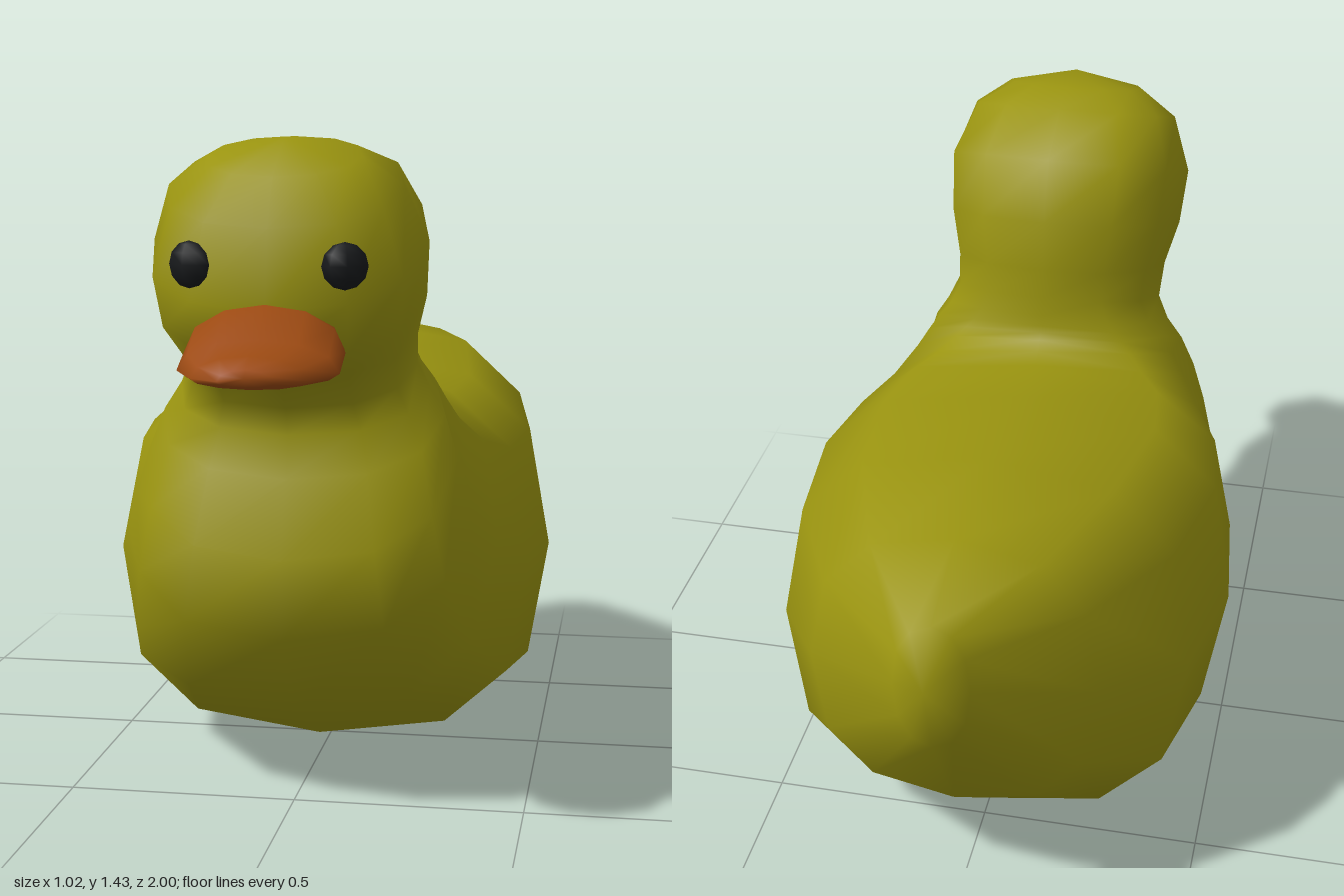
import * as THREE from 'three';
import { mergeVertices } from 'three/addons/utils/BufferGeometryUtils.js';

// Each section is [zA, yA, zB, yB, halfWidth, power]: A is its belly/front end,
// B its back/top end; "mid" says how far from A to B it is widest.
function loft(sections, sides, mid) {
  const pos = [], index = [];
  const bend = (v, n) => Math.sign(v) * Math.pow(Math.abs(v), 2 / n);
  sections.forEach(([zA, yA, zB, yB, w, n], i) => {
    for (let j = 0; j < sides; j++) {
      const a = (j / sides) * Math.PI * 2;
      const s = bend(Math.sin(a), n);
      const t = mid + s * (s > 0 ? 1 - mid : mid);
      pos.push(w * bend(Math.cos(a), n), yA + (yB - yA) * t, zA + (zB - zA) * t);
      if (i === sections.length - 1) continue;
      const p = i * sides + j, q = i * sides + ((j + 1) % sides);
      index.push(p, q, q + sides, p, q + sides, p + sides);
    }
  });
  const geo = new THREE.BufferGeometry();
  geo.setAttribute('position', new THREE.Float32BufferAttribute(pos, 3));
  geo.setIndex(index);
  const merged = mergeVertices(geo, 1e-4);
  merged.computeVertexNormals();
  return merged;
}

export function createModel() {
  const duck = new THREE.Group();
  duck.name = 'duck';
  const add = (name, geometry, color) => {
    const mesh = new THREE.Mesh(geometry, new THREE.MeshStandardMaterial({ color }));
    mesh.name = name;
    duck.add(mesh);
    return mesh;
  };

  // Body, neck and head: one skin swept from the tail tip up to the crown
  add('bodyAndHead', loft([
    [-1.0, 0.78, -1.0, 0.78, 0, 2],
    [-0.95, 0.6, -0.93, 0.89, 0.08, 2.2],
    [-0.79, 0.32, -0.72, 0.95, 0.31, 2.5],
    [-0.53, 0.08, -0.43, 0.96, 0.46, 2.7],
    [-0.19, 0.005, -0.1, 0.915, 0.51, 2.9],
    [0.17, 0.055, 0.08, 0.895, 0.48, 2.8],
    [0.46, 0.2, 0.12, 0.91, 0.42, 2.6],
    [0.65, 0.4, 0.14, 0.93, 0.37, 2.5],
    [0.65, 0.57, 0.15, 0.945, 0.34, 2.4],
    [0.59, 0.73, 0.155, 0.96, 0.31, 2.3],
    [0.56, 0.82, 0.16, 0.985, 0.275, 2.3],
    [0.58, 0.88, 0.165, 1.03, 0.25, 2.3],
    [0.66, 0.95, 0.17, 1.1, 0.255, 2.3],
    [0.76, 1.0, 0.18, 1.22, 0.28, 2.3],
    [0.8, 1.1, 0.24, 1.35, 0.29, 2.3],
    [0.77, 1.26, 0.37, 1.42, 0.245, 2.3],
    [0.71, 1.36, 0.46, 1.437, 0.16, 2.2],
    [0.58, 1.437, 0.58, 1.437, 0, 2],
  ], 12, 0.5), 0x9a9410);

  // Beak: arched on top, shallow underneath, rounded at the tip
  add('beak', loft([
    [0.7, 1.05, 0.7, 1.05, 0, 2],
    [0.7, 0.99, 0.7, 1.11, 0.14, 2],
    [0.8, 0.985, 0.8, 1.115, 0.16, 2],
    [0.87, 0.965, 0.87, 1.055, 0.16, 2],
    [0.95, 0.968, 0.95, 1.032, 0.115, 2],
    [0.985, 0.977, 0.985, 1.01, 0.055, 2],
    [1.0, 0.995, 1.0, 0.995, 0, 2],
  ], 12, 0.3), 0x9c4a12);

  // Eyes: flattened beads turned slightly outward
  for (const side of [1, -1]) {
    const eye = add(side > 0 ? 'leftEye' : 'rightEye', new THREE.SphereGeometry(0.047, 8, 6), 0x16181a);
    eye.position.set(side * 0.155, 1.19, 0.776);
    eye.rotation.y = side * 0.35;
    eye.scale.z = 0.55;
  }
  return duck;
}
